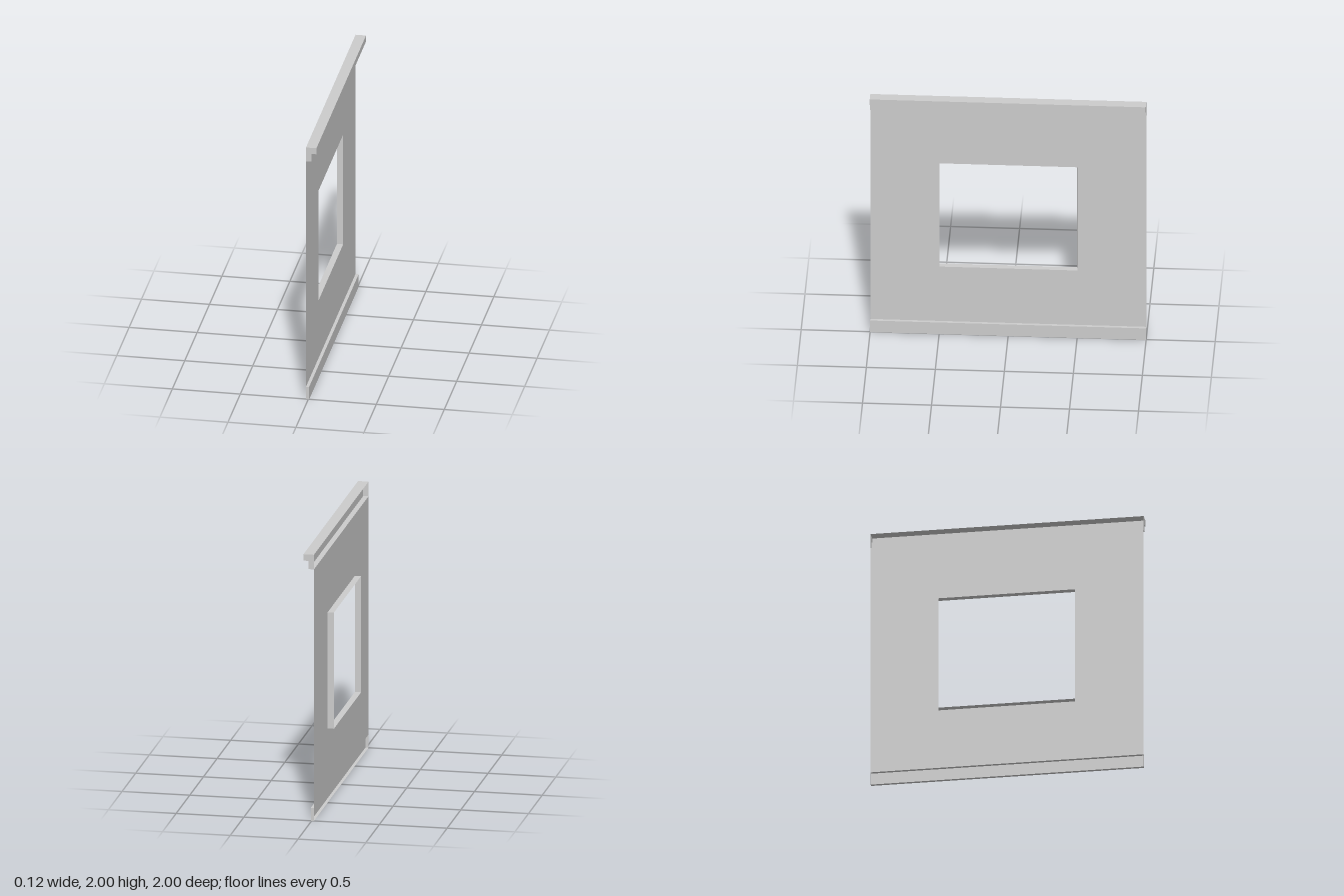
import * as THREE from 'three';

const WALL_X = -0.017;
const material = new THREE.MeshStandardMaterial({
  color: 0xcccccc, flatShading: true, side: THREE.DoubleSide,
});

function addMesh(parent, name, geometry) {
  const mesh = new THREE.Mesh(geometry, material);
  mesh.name = name;
  parent.add(mesh);
  return mesh;
}

// Open sheet joining two matching lists of 3D points
function strip(a, b) {
  const positions = [];
  for (let i = 0; i < a.length - 1; i++) {
    positions.push(...a[i], ...b[i], ...b[i + 1], ...a[i], ...b[i + 1], ...a[i + 1]);
  }
  const geometry = new THREE.BufferGeometry();
  geometry.setAttribute('position', new THREE.Float32BufferAttribute(positions, 3));
  geometry.computeVertexNormals();
  return geometry;
}

// Hollow moulding along z: open towards the wall, capped at both ends
function moulding(name, profile) {
  const group = new THREE.Group();
  group.name = name;
  const at = (z) => profile.map(([x, y]) => [x, y, z]);
  addMesh(group, name + 'Face', strip(at(1), at(-1)));
  const capShape = new THREE.Shape(profile.map(([x, y]) => new THREE.Vector2(x, y)));
  for (const side of [1, -1]) {
    const cap = new THREE.ShapeGeometry(capShape);
    if (side < 0) cap.setIndex([...cap.index.array].reverse());
    cap.computeVertexNormals();
    addMesh(group, name + 'End', cap).position.z = side;
  }
  return group;
}

export function createModel() {
  const model = new THREE.Group();
  model.name = 'windowWall';

  // Opening corners as [z, y]
  const opening = [[0.498, 0.557], [-0.502, 0.557], [-0.502, 1.43], [0.498, 1.43]];

  // Thin wall panel with the window opening, facing +x
  const panel = new THREE.Shape([[-1, 0.098], [1, 0.098], [1, 1.89], [-1, 1.89]]
    .map(([x, y]) => new THREE.Vector2(x, y)));
  panel.holes.push(new THREE.Path(opening.map(([z, y]) => new THREE.Vector2(-z, y))));
  const wall = new THREE.ShapeGeometry(panel).rotateY(Math.PI / 2).translate(WALL_X, 0, 0);
  addMesh(model, 'wallPanel', wall);

  // Window reveal running back from the opening, very slightly skewed
  const loop = [...opening, opening[0]];
  addMesh(model, 'windowReveal', strip(
    loop.map(([z, y]) => [WALL_X, y, z]),
    loop.map(([z, y]) => [-0.063, y, z + 0.005]),
  ));

  // Stepped cornice and plain baseboard
  model.add(moulding('cornice', [
    [WALL_X, 1.89], [0.022, 1.89], [0.022, 1.952], [0.06, 1.952], [0.06, 2], [WALL_X, 2],
  ]));
  model.add(moulding('baseboard', [
    [WALL_X, 0], [0.006, 0], [0.006, 0.098], [WALL_X, 0.098],
  ]));

  return model;
}
